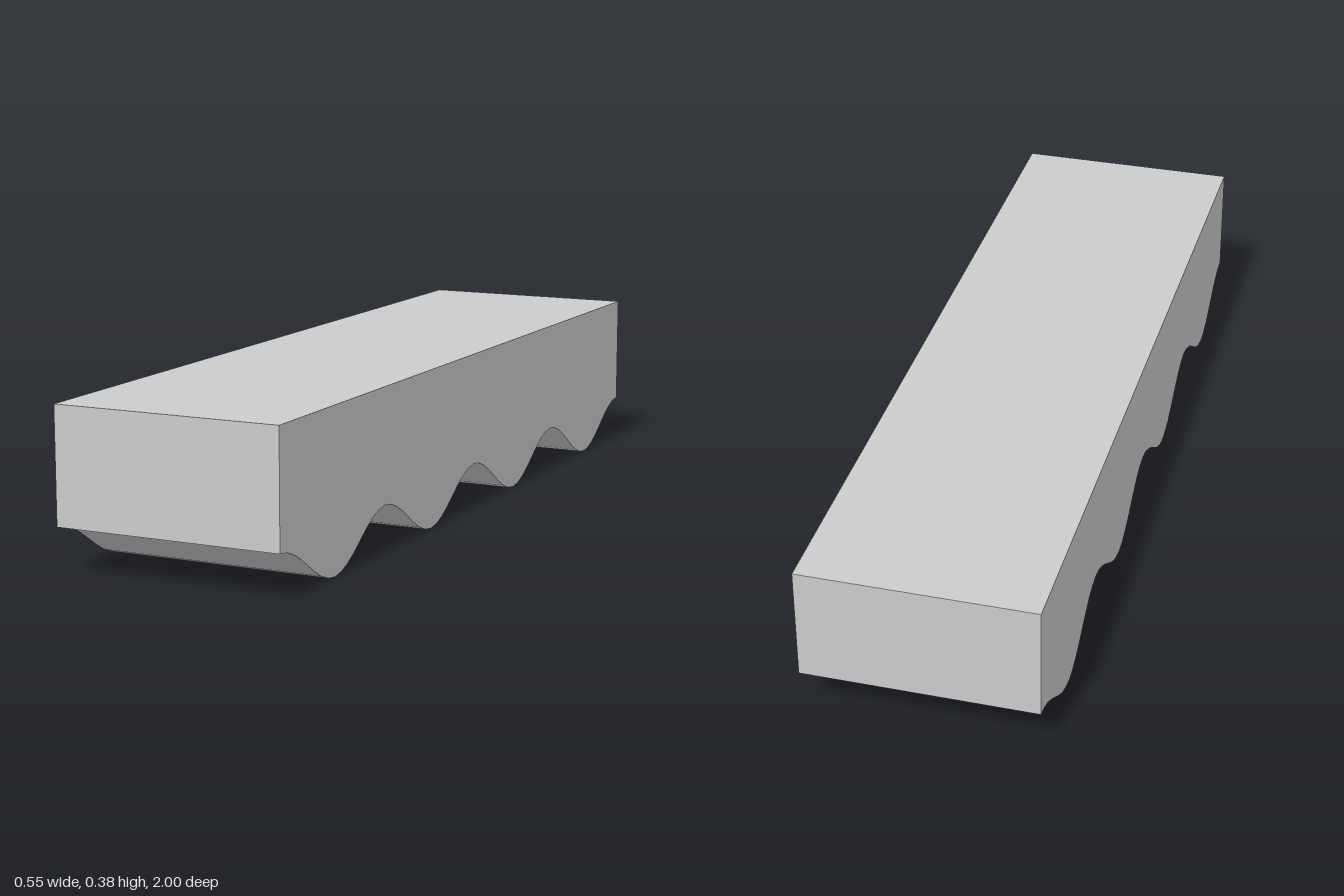
import * as THREE from 'three';

const WIDTH = 0.546, HALF_LENGTH = 1, TOP = 0.378;
const WAVE_HEIGHT = 0.107, WAVES = 4, STEPS_PER_WAVE = 16;

export function createModel() {
  const group = new THREE.Group();
  group.name = 'wavyBlock';

  // Side profile: flat top and ends, cosine wave along the underside
  const profile = new THREE.Shape();
  profile.moveTo(HALF_LENGTH, TOP);
  profile.lineTo(-HALF_LENGTH, TOP);
  const steps = WAVES * STEPS_PER_WAVE;
  for (let i = 0; i <= steps; i++) {
    const t = i / steps;
    const y = WAVE_HEIGHT * 0.5 * (1 + Math.cos(t * WAVES * Math.PI * 2));
    profile.lineTo((t * 2 - 1) * HALF_LENGTH, y);
  }
  profile.closePath();

  // Extrude across the width, then turn the length onto z
  const geometry = new THREE.ExtrudeGeometry(profile, { depth: WIDTH, bevelEnabled: false });
  geometry.translate(0, 0, -WIDTH / 2);
  geometry.rotateY(-Math.PI / 2);

  const material = new THREE.MeshStandardMaterial({ color: 0xcccccc, flatShading: true });
  const block = new THREE.Mesh(geometry, material);
  block.name = 'blockWithWavyUnderside';
  group.add(block);
  return group;
}
